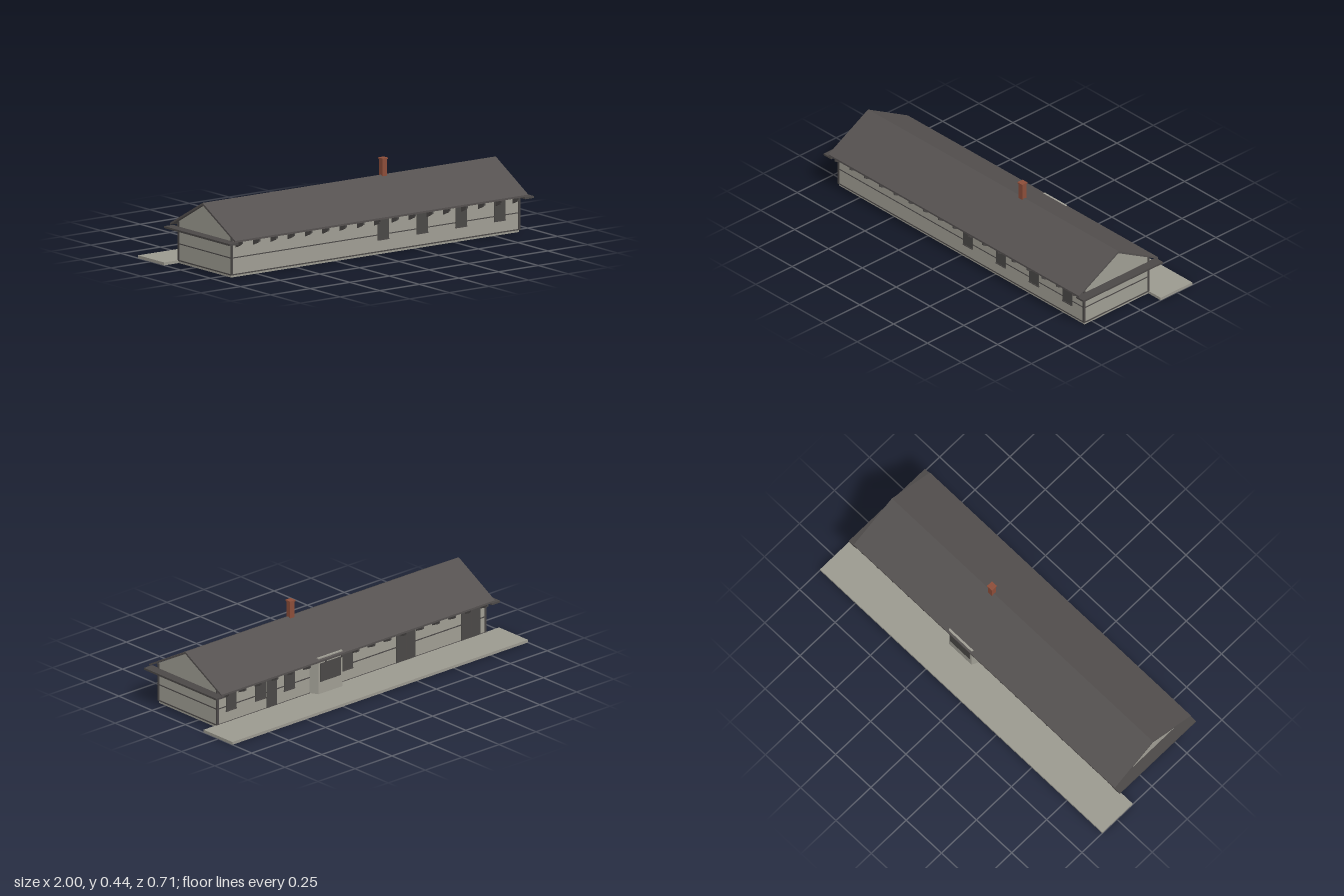
import * as THREE from 'three';

const mat = (name, color, side = THREE.FrontSide) => {
  const m = new THREE.MeshStandardMaterial({ color, side });
  m.name = name;
  return m;
};

export function createModel() {
  const wall = mat('wall plaster', 0x9f9d93);
  const stone = mat('platform concrete', 0x9b998f);
  const roofMat = mat('roof slate', 0x555150);
  const trim = mat('dark timber', 0x4b4847);
  const glass = mat('window and door', 0x4a4846);
  const brick = mat('chimney brick', 0x8c4d39);

  const model = new THREE.Group();
  model.name = 'longStationHouse';

  const add = (name, geo, material, parent = model) => {
    const mesh = new THREE.Mesh(geo, material);
    mesh.name = name;
    parent.add(mesh);
    return mesh;
  };
  // Box given by its minimum and maximum on each axis
  const box = (name, material, x0, x1, y0, y1, z0, z1, parent) => {
    const g = new THREE.BoxGeometry(x1 - x0, y1 - y0, z1 - z0);
    g.translate((x0 + x1) / 2, (y0 + y1) / 2, (z0 + z1) / 2);
    return add(name, g, material, parent);
  };
  // Side profile of [z, y] points, extruded from x0 to x1
  const profile = (name, material, pts, x0, x1, parent) => {
    const s = new THREE.Shape(pts.map(([z, y]) => new THREE.Vector2(-z, y)));
    const g = new THREE.ExtrudeGeometry(s, { depth: x1 - x0, bevelEnabled: false });
    g.rotateY(Math.PI / 2).translate(x0, 0, 0);
    return add(name, g, material, parent);
  };

  const X = 0.908, ZF = 0.302, ZB = -0.138, RZ = 0.083;

  // Ground slab and rear platform
  box('foundation', stone, -X, X, 0, 0.015, ZB, 0.3);
  box('platform', stone, -1, 1, 0, 0.015, -0.355, ZB);

  // Walls with gable ends
  profile('walls', wall, [[ZF, 0.012], [ZF, 0.217], [RZ, 0.338], [ZB, 0.215], [ZB, 0.012]], -X, X);

  // Pitched roof
  profile('roof', roofMat, [
    [0.355, 0.19], [0.355, 0.2], [RZ, 0.35], [-0.19, 0.2], [-0.19, 0.19], [RZ, 0.338],
  ], -0.925, 0.925);

  // Corner posts, horizontal rails and gable ledges
  for (const s of [-1, 1]) {
    const span = (a, b) => [Math.min(s * a, s * b), Math.max(s * a, s * b)];
    box('frontCornerPost', trim, ...span(0.9, 0.912), 0.012, 0.214, 0.298, 0.306);
    box('backCornerPost', trim, ...span(0.9, 0.912), 0.012, 0.214, -0.142, -0.132);
    box('gableLedge', trim, ...span(0.905, 0.96), 0.178, 0.188, -0.19, 0.355);
    for (const [y0, y1] of [[0.098, 0.103], [0.011, 0.017]])
      box('endRail', trim, ...span(0.905, 0.911), y0, y1, ZB, ZF);
  }
  for (const [y0, y1] of [[0.098, 0.103], [0.011, 0.017]]) {
    box('frontRail', trim, -X, X, y0, y1, 0.3, 0.304);
    box('backRail', trim, -X, X, y0, y1, -0.141, -0.136);
  }

  // Eave brackets: a beam with a tapering brace under it
  for (let i = 0; i < 17; i++) {
    const x = -0.877 + i * 0.1091;
    const bracket = new THREE.Group();
    bracket.name = 'eaveBracket';
    model.add(bracket);
    box('frontBeam', trim, x - 0.004, x + 0.004, 0.178, 0.19, 0.3, 0.354, bracket);
    box('backBeam', trim, x - 0.004, x + 0.004, 0.178, 0.19, -0.189, -0.136, bracket);
    profile('frontBrace', trim, [[0.3, 0.152], [0.345, 0.172], [0.345, 0.18], [0.3, 0.18]], x - 0.004, x + 0.004, bracket);
    profile('backBrace', trim, [[-0.136, 0.152], [-0.181, 0.172], [-0.181, 0.18], [-0.136, 0.18]], x - 0.004, x + 0.004, bracket);
  }

  // Front windows with sills
  for (const x of [0.05, 0.295, 0.54, 0.785]) {
    box('frontWindow', glass, x - 0.035, x + 0.035, 0.075, 0.18, 0.301, 0.3055);
    box('frontSill', trim, x - 0.036, x + 0.036, 0.072, 0.077, 0.301, 0.308);
  }

  // Back windows
  for (const x of [0.815, 0.617, 0.422, 0.027]) {
    box('backWindow', glass, x - 0.035, x + 0.035, 0.075, 0.18, -0.1425, -0.137);
    box('backSill', trim, x - 0.036, x + 0.036, 0.072, 0.077, -0.145, -0.137);
  }
  // Back doors: one single and two wide
  for (const [x0, x1] of [[0.506, 0.576], [-0.43, -0.302], [-0.87, -0.742]]) {
    box('backDoor', glass, x0, x1, 0.015, 0.165, -0.1425, -0.137);
    if (x1 - x0 > 0.1) {
      const m = (x0 + x1) / 2;
      box('doorSeam', trim, m - 0.002, m + 0.002, 0.015, 0.165, -0.144, -0.14);
    }
  }

  // Canted bay facing the platform
  const plan = [[0.076, -0.136], [0.1, -0.181], [0.26, -0.181], [0.284, -0.136]];
  const bay = new THREE.ExtrudeGeometry(
    new THREE.Shape(plan.map(([x, z]) => new THREE.Vector2(x, -z))),
    { depth: 0.196, bevelEnabled: false });
  bay.rotateX(-Math.PI / 2).translate(0, 0.015, 0);
  add('bay', bay, wall);
  box('bayWindow', glass, 0.11, 0.25, 0.08, 0.18, -0.184, -0.18);

  // Chimney with cap
  box('chimney', brick, 0.201, 0.229, 0.32, 0.429, 0.068, 0.096);
  box('chimneyCap', brick, 0.197, 0.233, 0.429, 0.436, 0.064, 0.1);

  return model;
}
